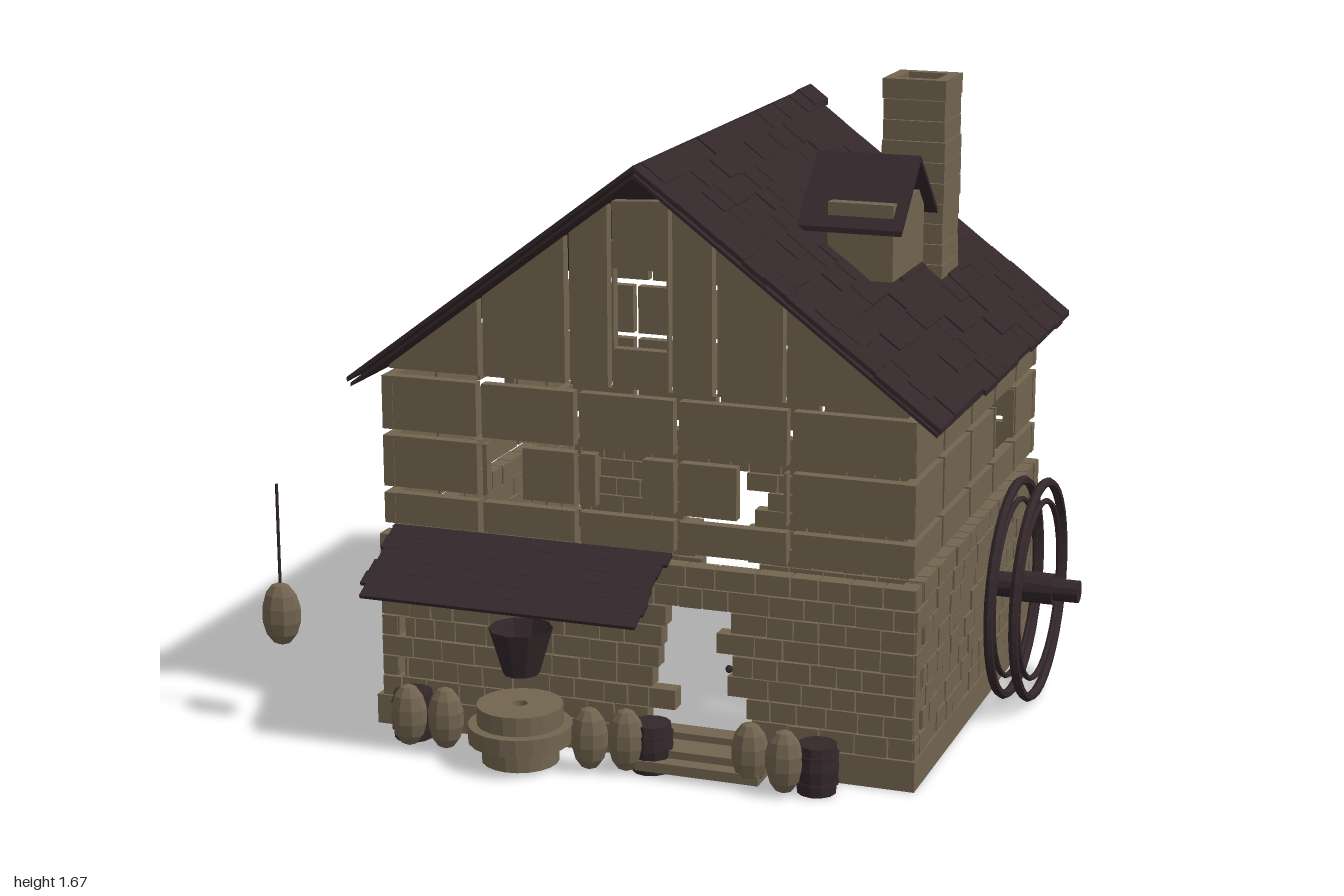
import * as THREE from 'three';
import { mergeGeometries } from 'three/addons/utils/BufferGeometryUtils.js';

const RIDGE_X = 0.03, RIDGE_Y = 1.553, SLOPE = 0.753;

export function createModel() {
  const root = new THREE.Group();
  root.name = 'millHouse';
  const tan = new THREE.MeshStandardMaterial({ color: 0x72644f, flatShading: true });
  tan.name = 'pale stone';
  const dark = new THREE.MeshStandardMaterial({ color: 0x33272a, flatShading: true, side: THREE.DoubleSide });
  dark.name = 'dark wood';

  let seed = 7;
  const rnd = () => (seed = (seed * 16807) % 2147483647) / 2147483647;

  const add = (name, geo, mat, x = 0, y = 0, z = 0) => {
    const m = new THREE.Mesh(Array.isArray(geo) ? mergeGeometries(geo) : geo, mat);
    m.name = name;
    m.position.set(x, y, z);
    root.add(m);
    return m;
  };
  // Box given by its limits
  const box = (x0, x1, y0, y1, z0, z1) =>
    new THREE.BoxGeometry(x1 - x0, y1 - y0, z1 - z0).translate((x0 + x1) / 2, (y0 + y1) / 2, (z0 + z1) / 2);
  // Polygon in the front plane, extruded from z0 to z1
  const prism = (pts, z0, z1, hole) => {
    const s = new THREE.Shape(pts.map(p => new THREE.Vector2(...p)));
    if (hole) s.holes.push(new THREE.Path(hole.map(p => new THREE.Vector2(...p))));
    return new THREE.ExtrudeGeometry(s, { depth: z1 - z0, bevelEnabled: false }).translate(0, 0, z0);
  };
  const rect = (x0, x1, y0, y1) => [[x0, y0], [x1, y0], [x1, y1], [x0, y1]];
  const roofY = x => RIDGE_Y - Math.abs(x - RIDGE_X) * SLOPE;

  // Foundation ring
  add('foundation', [
    box(-0.72, 0.76, 0, 0.08, 0.505, 0.565), box(-0.72, 0.76, 0, 0.08, -0.745, -0.685),
    box(-0.72, -0.66, 0, 0.08, -0.685, 0.505), box(0.7, 0.76, 0, 0.08, -0.685, 0.505)], tan);

  // Walls: c is the outer face, dir points outward, a runs along the wall
  const walls = [
    { name: 'front', alongX: true, c: 0.555, dir: 1, a0: -0.705, a1: 0.755, slot: -0.65, door: [0.09, 0.28],
      cuts: [-0.42, -0.15, 0.12, 0.42], windows: [[-0.4, -0.3], [-0.1, 0.03], [0.28, 0.405]] },
    { name: 'back', alongX: true, c: -0.735, dir: -1, a0: -0.705, a1: 0.755, slot: -0.65, door: [-0.27, -0.09],
      cuts: [-0.46, -0.2, 0.12, 0.42], windows: [[0.28, 0.405]] },
    { name: 'right', alongX: false, c: 0.755, dir: 1, a0: -0.735, a1: 0.555, slot: 0.49,
      cuts: [-0.488, -0.25, -0.003, 0.272], windows: [[-0.47, -0.27]] },
    { name: 'left', alongX: false, c: -0.705, dir: -1, a0: -0.735, a1: 0.555, slot: 0.49,
      cuts: [-0.488, -0.27, -0.003, 0.272], windows: [[-0.25, -0.02]] },
  ];
  const ROWS = 8, ROW_H = 0.0562;
  for (const w of walls) {
    const slab = (a0, a1, y0, y1, out, thick) => {
      const c0 = w.c + w.dir * out, c1 = c0 - w.dir * thick;
      const lo = Math.min(c0, c1), hi = Math.max(c0, c1);
      return w.alongX ? box(a0, a1, y0, y1, lo, hi) : box(lo, hi, y0, y1, a0, a1);
    };
    // Brick courses, toothed around the doorway and the corner slot
    const bricks = [];
    for (let r = 0; r < ROWS; r++) {
      const y = 0.08 + r * ROW_H;
      for (let a = w.a0; a < w.a1 - 0.01;) {
        let end = a + 0.055 + rnd() * 0.055;
        if (w.a1 - end < 0.045) end = w.a1;
        const mid = (a + end) / 2;
        const inDoor = w.door && r < 6 && mid > w.door[0] && mid < w.door[1];
        let s = a, e = end - 0.004;
        if (r % 2 && s < w.slot && e > w.slot) {
          bricks.push(slab(s, Math.max(s + 0.005, w.slot - 0.012), y, y + ROW_H - 0.004, 0, 0.045));
          s = Math.min(e - 0.005, w.slot + 0.012);
        }
        if (!inDoor) bricks.push(slab(s, e, y, y + ROW_H - 0.004, rnd() * 0.006 - 0.003, 0.045));
        a = end;
      }
    }
    add(w.name + 'BrickWall', bricks, tan);

    // Infill panels in three rows with open joints and windows
    const panels = [];
    const ends = [w.a0 + 0.015, ...w.cuts, w.a1 - 0.01];
    [[0.555, 0.637], [0.655, 0.792], [0.81, 0.952]].forEach(([y0, y1], row) => {
      for (let i = 0; i < ends.length - 1; i++) {
        let a = ends[i] + (i ? 0.008 : 0);
        const b = ends[i + 1] - (i < ends.length - 2 ? 0.008 : 0);
        for (const [w0, w1] of row === 1 ? w.windows : []) {
          if (w1 <= a || w0 >= b) continue;
          if (w0 - a > 0.006) panels.push(slab(a, w0, y0, y1, -0.012, 0.03));
          a = w1;
        }
        if (b - a > 0.006) panels.push(slab(a, b, y0, y1, -0.012, 0.03));
      }
    });
    add(w.name + 'Panels', panels, tan);
  }

  // Gable panels cut to the roof slope
  const bays = [[-0.67, -0.42], [-0.405, -0.18], [-0.165, -0.063], [-0.05, 0.1], [0.112, 0.215], [0.23, 0.4], [0.412, 0.722]];
  for (const [name, z0, isFront] of [['frontGable', 0.513, true], ['backGable', -0.723, false]]) {
    add(name, bays.map(([x0, x1], i) => {
      const top = x => Math.min(1.46, roofY(x) - 0.043);
      const pts = [[x0, 0.973], [x1, 0.973], [x1, Math.max(0.978, top(x1))], [x0, Math.max(0.978, top(x0))]];
      return prism(pts, z0, z0 + 0.03, isFront && i === 3 ? rect(-0.046, 0.096, 1.075, 1.28) : null);
    }), tan);
  }

  // Roof: piece of slope s from u0 to u1 away from the ridge
  const slope = (s, u0, u1, z0, z1, drop, thick) => prism([u0, u1, u1, u0].map((u, i) =>
    [RIDGE_X + s * u, RIDGE_Y - drop - u * SLOPE - (i > 1 ? thick : 0)]), z0, z1);
  add('roofBoards', [slope(1, 0, 0.78, -0.79, 0.6, 0.022, 0.01), slope(-1, 0, 0.785, -0.79, 0.6, 0.022, 0.01),
    slope(-1, 0, 0.795, -0.79, 0.6, 0, 0.013)], dark);
  const shingles = [];
  for (let r = 0; r < 14; r++) {
    const u = r * 0.0561;
    for (let z = -0.79; z < 0.595;) {
      let e = z + 0.07 + rnd() * 0.09;
      if (e > 0.55) e = 0.6;
      shingles.push(slope(1, u, u + 0.0561 + rnd() * 0.008, z, e - 0.003, rnd() * 0.006, 0.014));
      z = e;
    }
  }
  add('roofShingles', shingles, dark);
  add('ridgeCap', [-1, 1].map(s => slope(s, 0, 0.053, -0.84, -0.72, -0.004, 0.018)), dark);

  // Chimney: hollow courses of slightly uneven size
  const courses = [];
  for (let i = 0; i < 13; i++) {
    const h = 0.083 + rnd() * 0.005, y = 0.95 + i * 0.0554;
    courses.push(prism(rect(-h, h, -h, h), 0, 0.0535, rect(-0.055, 0.055, -0.055, 0.055))
      .rotateX(-Math.PI / 2).translate(0.497, y, -0.358));
  }
  add('chimney', courses, tan);

  // Dormer
  add('dormerBody', box(0.38, 0.555, 1.2, 1.4, -0.18, 0.115), tan);
  add('dormerRoof', [-1, 1].map(s =>
    prism([[0, 1.507], [s * 0.175, 1.34], [s * 0.175, 1.326], [0, 1.493]], 0, 0.28)
      .rotateY(Math.PI / 2).translate(0.305, 0, -0.033)), dark);

  // Water wheel: paired rims on a stepped axle
  const rims = [];
  for (const x of [0.82, 0.887]) for (const [r, t] of [[0.292, 0.013], [0.241, 0.008]])
    rims.push(new THREE.TorusGeometry(r, t, 6, 36).rotateY(Math.PI / 2).translate(x, 0.308, -0.215));
  add('wheelRims', rims, dark);
  add('wheelAxle', [[0.755, 0.84, 0.035], [0.84, 0.93, 0.043], [0.93, 0.998, 0.031]].map(([a, b, r]) =>
    new THREE.CylinderGeometry(r, r, b - a, 12).rotateZ(Math.PI / 2).translate((a + b) / 2, 0.313, -0.215)), dark);

  // Awning of uneven planks
  const planks = [];
  for (let i = 0; i < 6; i++)
    planks.push(box(-0.665 + rnd() * 0.025, 0.118 - rnd() * 0.02, -0.005, 0.005, i * 0.0455, i * 0.0455 + 0.045));
  add('awning', planks, dark, 0, 0.556, 0.563).rotation.x = 0.456;

  // Hopper and millstones
  add('hopper', new THREE.CylinderGeometry(0.083, 0.047, 0.122, 10, 1, true), dark, -0.245, 0.304, 0.7);
  const ring = (r, y, h) => {
    const s = new THREE.Shape().absarc(0, 0, r, 0, Math.PI * 2);
    s.holes.push(new THREE.Path().absarc(0, 0, 0.02, 0, Math.PI * 2));
    return new THREE.ExtrudeGeometry(s, { depth: h, bevelEnabled: false, curveSegments: 10 })
      .rotateX(-Math.PI / 2).translate(0, y, 0);
  };
  add('millstones', [ring(0.1, 0.01, 0.055), ring(0.135, 0.065, 0.045), ring(0.112, 0.112, 0.05)], tan, -0.248, 0, 0.705);

  // Sacks
  const sack = (name, x, y, z, rx, ry, rz) =>
    add(name, new THREE.SphereGeometry(1, 9, 7).scale(rx, ry, rz), tan, x, y, z);
  [[-0.565, 0.7], [-0.465, 0.69], [-0.06, 0.7], [0.032, 0.68], [0.36, 0.665], [0.457, 0.688]]
    .forEach(([x, z]) => sack('sack', x, 0.09, z, 0.05, 0.085, 0.04));
  sack('hangingSack', -0.948, 0.31, 0.66, 0.055, 0.087, 0.043);
  add('rope', new THREE.CylinderGeometry(0.004, 0.004, 0.28, 6), dark, -0.948, 0.525, 0.66);

  // Barrels with hoops
  const profile = [[0, 0], [0.05, 0], [0.057, 0.065], [0.05, 0.128], [0, 0.128]].map(p => new THREE.Vector2(...p));
  for (const [x, z] of [[-0.587, 0.625], [0.085, 0.635], [0.527, 0.635]]) {
    add('barrel', new THREE.LatheGeometry(profile, 12), dark, x, 0, z);
    add('barrelHoops', [0.03, 0.1].map(y => new THREE.CylinderGeometry(0.057, 0.057, 0.009, 12).translate(0, y, 0)), dark, x, 0, z);
  }

  // Doorstep and door knob
  add('doorstep', [box(0.06, 0.39, 0.015, 0.042, 0.56, 0.692), box(0.1, 0.36, 0.042, 0.062, 0.56, 0.65)], tan);
  add('doorKnob', new THREE.SphereGeometry(0.01, 8, 6), dark, 0.275, 0.275, 0.58);

  return root;
}
